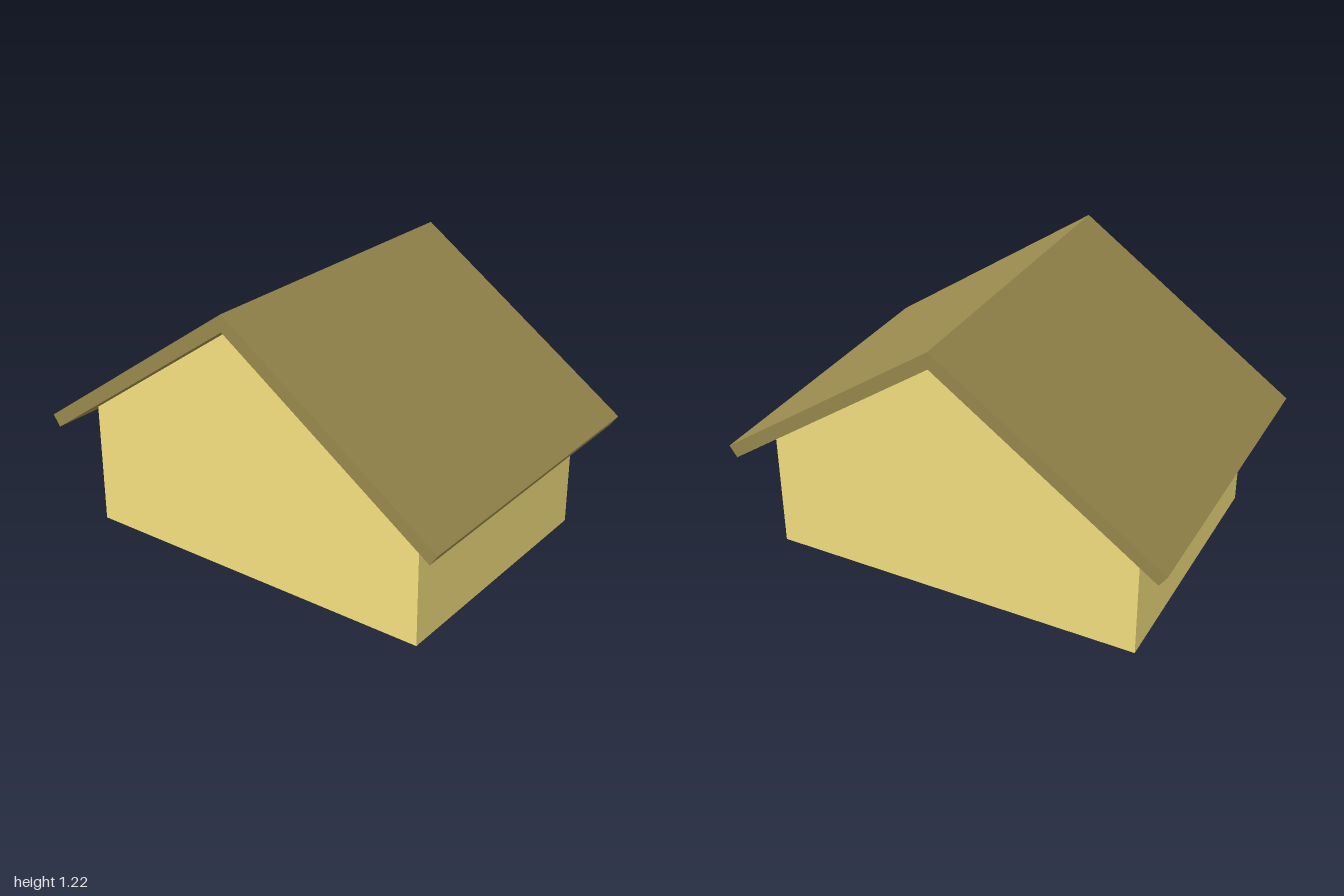
import * as THREE from 'three';

const HALF_W = 0.843, HALF_D = 0.61; // walls
const ROOF_D = 0.73;
const APEX = 1.146, EAVE = 0.556; // wall heights at the ridge and the sides
const T = 0.06; // wall and floor thickness

// Extrudes a closed outline in x/y along z, between z0 and z1.
function extrude(points, z0, z1) {
  const shape = new THREE.Shape(points.map(([x, y]) => new THREE.Vector2(x, y)));
  const geo = new THREE.ExtrudeGeometry(shape, { depth: z1 - z0, bevelEnabled: false });
  return geo.translate(0, 0, z0);
}

export function createModel() {
  const group = new THREE.Group();
  const wallMat = new THREE.MeshStandardMaterial({ color: 0xf7e280 });
  const roofMat = new THREE.MeshStandardMaterial({ color: 0x998a4d });
  const floorMat = new THREE.MeshStandardMaterial({ color: 0x808080 });

  const add = (name, geometry, material) => {
    const mesh = new THREE.Mesh(geometry, material);
    mesh.name = name;
    group.add(mesh);
  };

  // Gable walls at the front and back
  const gable = [[-HALF_W, 0], [HALF_W, 0], [HALF_W, EAVE], [0, APEX], [-HALF_W, EAVE]];
  add('frontGable', extrude(gable, HALF_D - T, HALF_D), wallMat);
  add('backGable', extrude(gable, -HALF_D, -HALF_D + T), wallMat);

  for (const [side, s] of [['left', 1], ['right', -1]]) {
    // Low side wall between the gables
    const wall = new THREE.BoxGeometry(T, EAVE, 2 * (HALF_D - T));
    wall.translate(s * (HALF_W - T / 2), EAVE / 2, 0);
    add(side + 'Wall', wall, wallMat);

    // Sloping roof slab with overhanging eave
    const slab = [[0, APEX], [s * 0.966, 0.47], [s, 0.52], [0, 1.22]];
    add(side + 'Roof', extrude(slab, -ROOF_D, ROOF_D), roofMat);
  }

  // Floor slab between the walls, flush with their feet
  const floor = new THREE.BoxGeometry(2 * (HALF_W - T), T, 2 * (HALF_D - T));
  add('floor', floor.translate(0, T / 2, 0), floorMat);

  return group;
}
